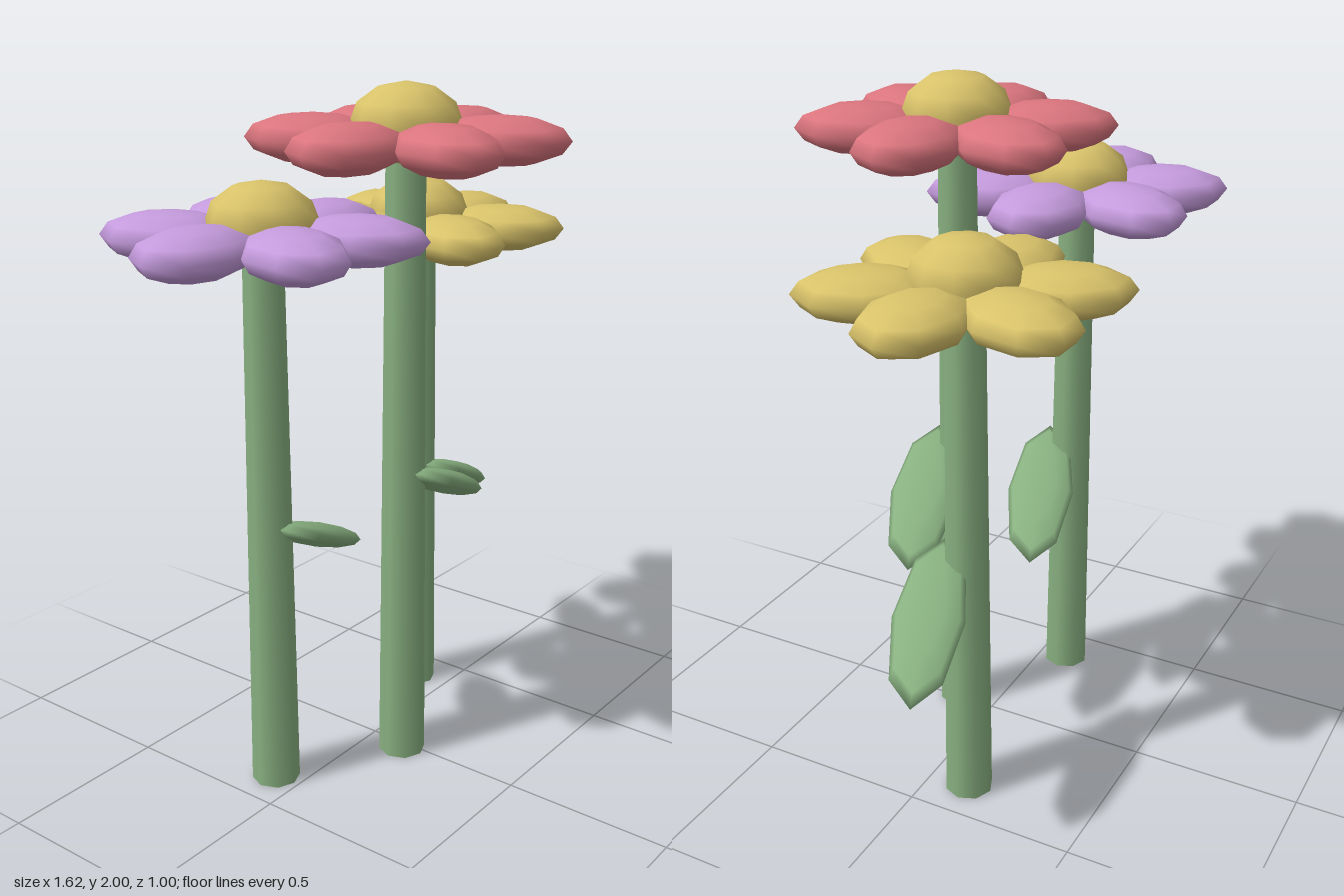
import * as THREE from 'three';

const mat = (name, color) => {
  const m = new THREE.MeshStandardMaterial({ color });
  m.name = name;
  return m;
};

export function createModel() {
  const green = mat('leaf green', 0x88b080);
  const yellow = mat('yellow', 0xd9c36a);
  const red = mat('rose red', 0xdb757e);
  const purple = mat('lilac', 0xc59bdd);

  // Shared shapes: flattened low-poly ellipsoids
  const petalGeo = new THREE.SphereGeometry(1, 8, 6).scale(0.19, 0.068, 0.137);
  const centreGeo = new THREE.SphereGeometry(1, 10, 6).rotateY(Math.PI / 2).scale(0.152, 0.11, 0.152);
  const leafGeo = new THREE.SphereGeometry(1, 8, 6).scale(0.271, 0.036, 0.1);

  const add = (group, name, geo, material, x, y, z) => {
    const mesh = new THREE.Mesh(geo, material);
    mesh.name = name;
    mesh.position.set(x, y, z);
    group.add(mesh);
    return mesh;
  };

  function flower(name, x, z, height, petalColor) {
    const g = new THREE.Group();
    g.name = name;
    g.position.set(x, 0, z);

    // Tapered stem
    add(g, 'stem', new THREE.CylinderGeometry(0.055, 0.07, height, 8), green, 0, height / 2, 0);

    // One drooping leaf, yawed slightly backwards
    const leaf = add(g, 'leaf', leafGeo, green, 0.197, height * 0.441, 0.01);
    leaf.rotation.set(0, 0.33, -0.42, 'YXZ');

    // Ring of six petals around a domed centre
    for (let i = 0; i < 6; i++) {
      const a = (i * Math.PI) / 3;
      const petal = add(g, 'petal', petalGeo, petalColor, 0.25 * Math.cos(a), height, -0.25 * Math.sin(a));
      petal.rotation.y = a;
    }
    add(g, 'flowerCentre', centreGeo, yellow, 0, height + 0.042, 0);
    return g;
  }

  const model = new THREE.Group();
  model.name = 'flowers';
  model.add(
    flower('redFlower', -0.02, 0.117, 1.848, red),
    flower('purpleFlower', -0.375, -0.085, 1.613, purple),
    flower('yellowFlower', 0.37, -0.12, 1.533, yellow),
  );
  return model;
}
